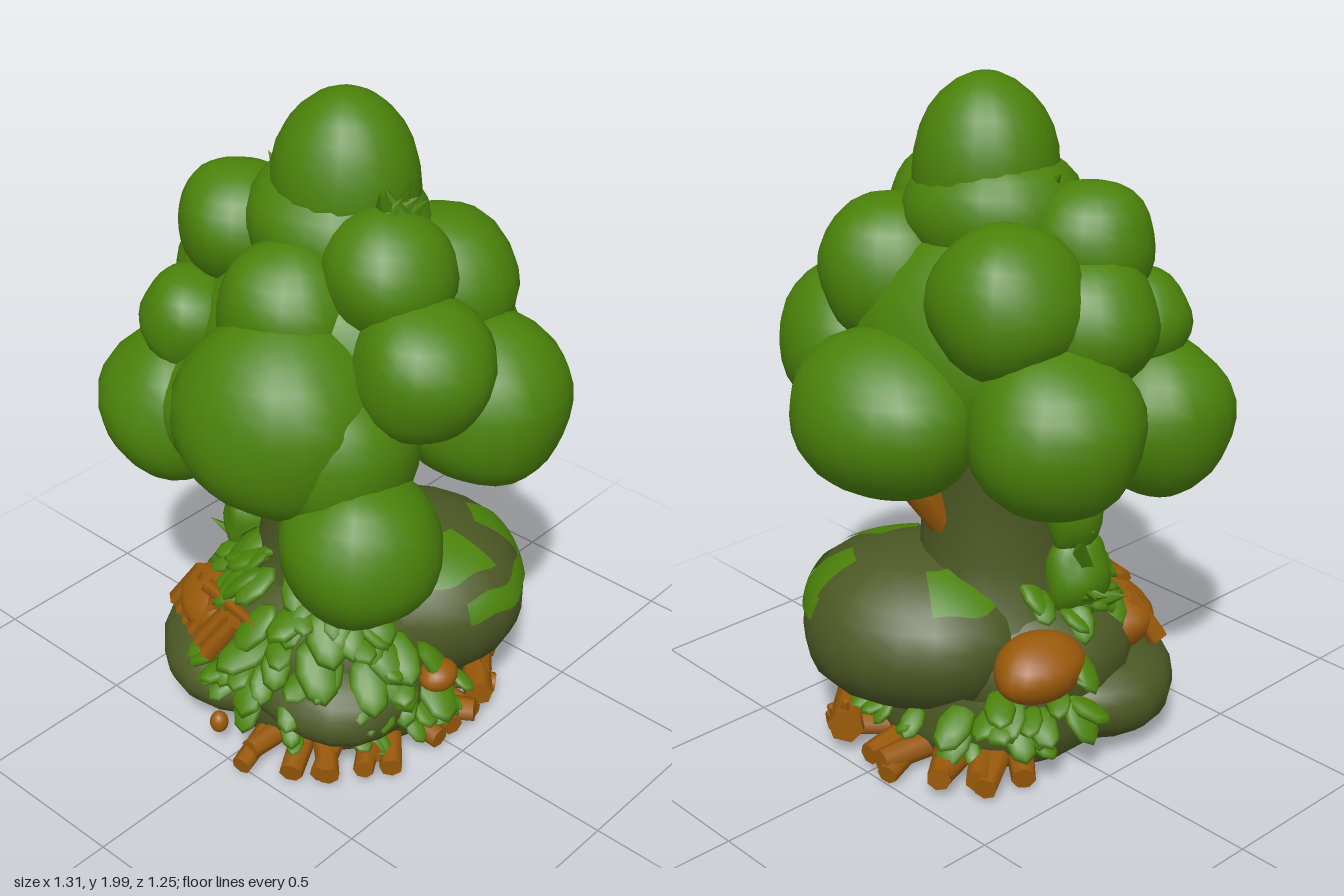
import * as THREE from 'three';
import { mergeGeometries, mergeVertices } from 'three/addons/utils/BufferGeometryUtils.js';

export function createModel() {
  const root = new THREE.Group();
  root.name = 'treeOnRocks';
  const material = (name, color) => {
    const m = new THREE.MeshStandardMaterial({ color, side: THREE.DoubleSide });
    m.name = name;
    return m;
  };
  const green = material('leafGreen', 0x4b820a);
  const olive = material('mossyBark', 0x4c5824);
  const rust = material('rustWood', 0x9a5a0a);

  let seed = 7;
  const rand = (a = 0, b = 1) => {
    seed = (seed * 16807) % 2147483647;
    return a + (b - a) * (seed / 2147483647);
  };
  const add = (name, geometry, mat) => {
    const mesh = new THREE.Mesh(geometry, mat);
    mesh.name = name;
    root.add(mesh);
    return mesh;
  };

  // Ellipsoid pushed in and out by a smooth wave; ranges give a patch of it,
  // grow lifts the patch and ripple makes its edge uneven
  function blob([x, y, z], [rx, ry, rz], lump = 0.03, ranges = [], grow = 1, ripple = 0) {
    let g = new THREE.SphereGeometry(1, 20, 14, ...ranges);
    const p = g.attributes.position, v = new THREE.Vector3();
    for (let i = 0; i < p.count; i++) {
      v.fromBufferAttribute(p, i);
      v.y += ripple * (Math.sin(9 * v.x) + Math.sin(13 * v.z));
      v.normalize();
      const wave = Math.sin(4 * v.x + 9 * x) * Math.sin(4 * v.z + 7 * z) + 0.6 * Math.sin(5 * v.y + 3 * v.x + 8 * y);
      v.multiplyScalar(grow * (1 + lump * wave));
      p.setXYZ(i, x + v.x * rx, y + v.y * ry, z + v.z * rz);
    }
    g.deleteAttribute('uv');
    g.deleteAttribute('normal');
    g = mergeVertices(g, 1e-5);
    g.computeVertexNormals();
    return g;
  }

  // Crown: x, y, z and radius of every leaf ball
  const balls = [
    [0.09, 1.19, 0.325, 0.3], [-0.365, 1.03, 0.295, 0.235], [-0.405, 1.11, -0.15, 0.25],
    [0.37, 0.885, 0.33, 0.228], [0.41, 1.16, -0.14, 0.25], [0.4, 1.36, 0.12, 0.2],
    [-0.36, 1.37, 0.02, 0.195], [-0.32, 1.31, 0.27, 0.15], [-0.285, 1.56, 0.1, 0.18],
    [-0.25, 1.44, -0.18, 0.22], [0.21, 1.44, -0.18, 0.22], [0.24, 1.57, 0.08, 0.185],
    [0.03, 1.45, 0.23, 0.2], [0.22, 1.12, 0.27, 0.24], [-0.18, 1.09, 0.28, 0.2],
  ];
  balls.forEach(([x, y, z, r], i) => add('leafBall' + (i + 1), blob([x, y, z], [r, r, r], 0.03), green));
  add('leafBallBack', blob([0.03, 1.1, -0.37], [0.3, 0.24, 0.255], 0.02), green);
  add('crownTop', blob([0.01, 1.73, -0.01], [0.21, 0.27, 0.205], 0.01), green);
  add('crownShoulder', blob([-0.01, 1.62, 0], [0.27, 0.2, 0.25], 0.03), green);
  add('crownCore', blob([0, 1.25, 0], [0.44, 0.38, 0.4], 0.03), green);
  add('crownUnderside', blob([0.16, 0.9, 0.19], [0.15, 0.12, 0.12], 0.04), green);

  // Tufts of pointed leaves: centre, lean direction, count, size
  function tuft(name, c, lean, count, size) {
    const parts = [];
    for (let i = 0; i < count; i++) {
      const g = new THREE.ConeGeometry(size * 0.45, size * rand(1, 1.4), 5);
      g.scale(1, 1, 0.6);
      const d = new THREE.Vector3(...lean).add(new THREE.Vector3(rand(-0.6, 0.6), rand(-0.4, 0.4), rand(-0.6, 0.6))).normalize();
      g.applyQuaternion(new THREE.Quaternion().setFromUnitVectors(new THREE.Vector3(0, 1, 0), d));
      g.translate(c[0] + rand(-0.4, 0.4) * size, c[1] + rand(-0.5, 0.5) * size, c[2] + rand(-0.4, 0.4) * size);
      parts.push(g);
    }
    add(name, mergeGeometries(parts), green);
  }
  tuft('crownTuft', [0.23, 1.74, 0.05], [0.25, 1, 0], 7, 0.12);
  tuft('crownTuftLeft', [-0.2, 1.72, 0.02], [-0.4, 0.8, 0], 4, 0.09);
  add('ivyCurtainUpper', blob([-0.28, 0.8, 0.06], [0.075, 0.15, 0.1], 0.08), green);
  add('ivyCurtainLower', blob([-0.28, 0.56, 0.08], [0.085, 0.13, 0.11], 0.08), green);
  tuft('ivyUpper', [-0.3, 0.7, 0.07], [-0.8, 0.2, 0], 5, 0.12);
  tuft('ivyLower', [-0.31, 0.53, 0.09], [-0.9, 0.1, 0.2], 6, 0.11);
  tuft('ivyRight', [0.31, 0.56, 0.12], [0.8, 0.5, 0.2], 7, 0.11);

  // Trunk with a flared foot
  const lathe = (pts) => new THREE.LatheGeometry(pts.map((q) => new THREE.Vector2(...q)), 18);
  add('trunk', lathe([[0.3, 0.4], [0.25, 0.5], [0.225, 0.62], [0.215, 0.8], [0.23, 0.95], [0.25, 1.1]]), olive).position.x = -0.02;

  // Rod between two points
  function rod(a, b, r0, r1, sides = 7) {
    const A = new THREE.Vector3(...a), B = new THREE.Vector3(...b), d = B.clone().sub(A);
    const g = new THREE.CylinderGeometry(r1, r0, d.length(), sides);
    g.applyQuaternion(new THREE.Quaternion().setFromUnitVectors(new THREE.Vector3(0, 1, 0), d.normalize()));
    return g.translate((A.x + B.x) / 2, (A.y + B.y) / 2, (A.z + B.z) / 2);
  }
  add('frontBranch', rod([0.17, 0.57, 0.13], [0.26, 0.86, 0.23], 0.045, 0.06), rust);
  add('backBranch', rod([0.0, 0.72, -0.19], [0.04, 0.93, -0.32], 0.045, 0.055), rust);

  // Hanging vine
  const vine = new THREE.CatmullRomCurve3([[0.23, 0.95, 0], [0.22, 0.82, 0.01], [0.23, 0.7, 0], [0.29, 0.56, 0.01]].map((q) => new THREE.Vector3(...q)));
  add('vine', new THREE.TubeGeometry(vine, 12, 0.026, 6), green);

  // Rocks
  const boulder = [[0.11, 0.365, -0.195], [0.375, 0.25, 0.34]];
  add('backBoulder', blob(...boulder, 0.025), olive);
  add('mound', blob([-0.02, 0.28, 0.05], [0.4, 0.27, 0.36], 0.03), olive);
  add('frontLeftRock', blob([-0.19, 0.165, 0.17], [0.31, 0.155, 0.3], 0.03), olive);
  add('frontRightRock', blob([0.15, 0.22, 0.18], [0.28, 0.15, 0.26], 0.03), olive);
  add('baseRock', lathe([[0, 0.01], [0.33, 0.01], [0.37, 0.05], [0.4, 0.14], [0.38, 0.26]]), olive).position.z = 0.01;

  // Uneven moss lying on the boulder
  const PI = Math.PI;
  const moss = (name, ...ranges) => add(name, blob(...boulder, 0.025, ranges, 1.015, 0.035), green);
  moss('mossBand', PI * 0.88, PI * 0.52, PI * 0.35, PI * 0.08);
  moss('mossSide', PI * 1.22, PI * 0.16, PI * 0.18, PI * 0.18);
  moss('mossCap', PI * 0.75, PI * 0.3, PI * 0.12, PI * 0.16);
  moss('mossPatch', PI * 1.8, PI * 0.22, PI * 0.14, PI * 0.16);

  // Drooping oval leaves scattered over part of the rock mound;
  // angles are measured from the front towards +x
  function leaves(name, count, [a0, a1], [y0, y1], size, out = 1) {
    const parts = [], holder = new THREE.Object3D();
    for (let i = 0; i < count; i++) {
      const deg = rand(a0, a1), y = rand(y0, y1), k = size * rand(0.75, 1.2), a = deg * PI / 180;
      const s = out * Math.sqrt(1 - ((y - 0.2) / 0.43) ** 2);
      holder.position.set(0.42 * s * Math.sin(a), y, 0.02 + 0.43 * s * Math.cos(a));
      holder.rotation.set(rand(0.2, 0.9), a + rand(-0.5, 0.5), rand(-0.3, 0.3), 'YXZ');
      holder.scale.set(k * 0.6, k * 0.28, k);
      holder.updateMatrix();
      parts.push(new THREE.SphereGeometry(1, 8, 6).applyMatrix4(holder.matrix));
    }
    add(name, mergeGeometries(parts), green);
  }
  leaves('frontRightLeaves', 36, [0, 90], [0.17, 0.5], 0.09);
  leaves('upperLeaves', 24, [-70, 80], [0.44, 0.58], 0.075);
  leaves('frontLeaves', 7, [-32, 5], [0.2, 0.29], 0.07);
  leaves('backLeftLeaves', 15, [-150, -95], [0.12, 0.26], 0.08);
  leaves('leftLeaves', 12, [-125, -60], [0.44, 0.56], 0.07);
  leaves('burlLeaves', 4, [-125, -85], [0.33, 0.42], 0.06, 1.12);
  leaves('lowLeaves', 18, [20, 230], [0.1, 0.18], 0.055);

  // Bark mound of overlapping slats at the front left
  add('barkMound', blob([-0.22, 0.35, 0.25], [0.17, 0.1, 0.15], 0.03), rust);
  const slats = [];
  for (let i = 0; i < 6; i++) {
    const x = -0.39 + i * 0.05, z = 0.28 + i * 0.023;
    slats.push(rod([x, 0.3, z + 0.04], [x + 0.07, 0.42 + rand(0, 0.02), z - 0.01], 0.034, 0.028, 5));
  }
  add('barkSlats', mergeGeometries(slats), rust);
  add('barkStrip', rod([-0.24, 0.44, 0.33], [0.02, 0.45, 0.385], 0.025, 0.015, 5), rust);
  add('leftBurl', blob([-0.345, 0.36, -0.14], [0.115, 0.1, 0.15], 0.03), rust);
  add('rightBurl', blob([0.42, 0.28, 0.03], [0.055, 0.045, 0.065], 0.02), rust);
  add('frontKnob', blob([-0.07, 0.09, 0.465], [0.028, 0.035, 0.028], 0), rust);

  // Short logs fanned round the foot
  const logs = [];
  for (let deg = 6; deg <= 246; deg += 9.5) {
    const a = deg * PI / 180, b = a + rand(-0.18, 0.18), r = rand(0.95, 1.04), thick = rand(0.034, 0.044);
    logs.push(rod([0.3 * Math.sin(a), 0.075, 0.32 * Math.cos(a)], [0.46 * r * Math.sin(b), rand(0.04, 0.09), 0.51 * r * Math.cos(b)], thick, thick * 0.85));
  }
  add('footLogs', mergeGeometries(logs), rust);

  // Fallen trunk at the back with upright splinters
  add('fallenLog', rod([0.43, 0.09, -0.16], [0.12, 0.1, -0.48], 0.045, 0.055, 6), rust);
  add('splinter', rod([0.38, 0.1, -0.25], [0.385, 0.22, -0.25], 0.024, 0.01, 5), rust);
  add('splinterSmall', rod([0.15, 0.1, -0.46], [0.13, 0.18, -0.47], 0.024, 0.01, 5), rust);

  return root;
}
